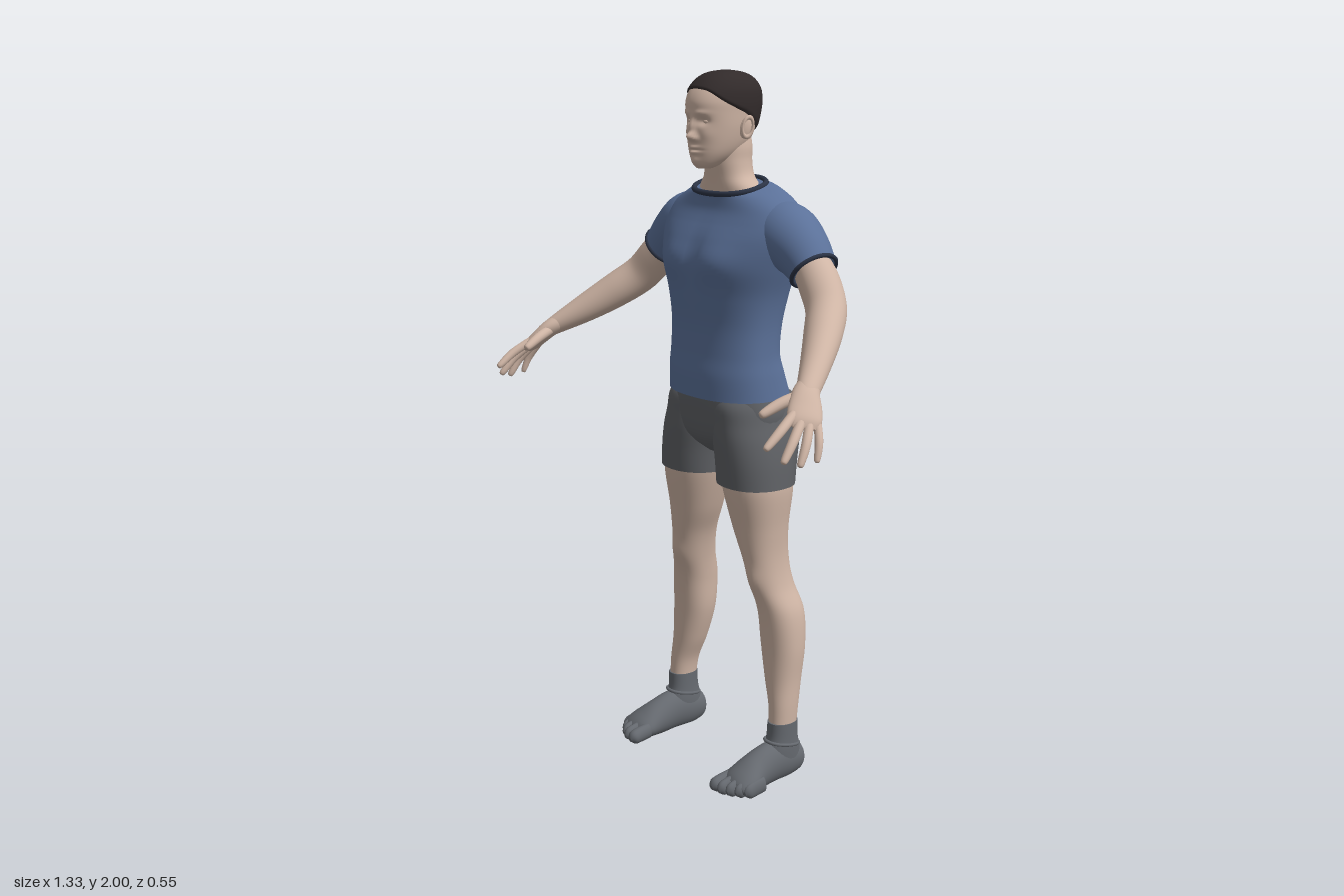
import * as THREE from 'three';

const V = (x, y, z) => new THREE.Vector3(x, y, z);
const paint = (name, color) => Object.assign(new THREE.MeshStandardMaterial({ color }), { name });

// Smooth interpolation of a table of cross-sections, v from 0 to 1
function spline(rows, v) {
  const t = THREE.MathUtils.clamp(v, 0, 1) * (rows.length - 1);
  const i = Math.min(Math.floor(t), rows.length - 2), f = t - i;
  const row = k => rows[THREE.MathUtils.clamp(k, 0, rows.length - 1)];
  return rows[0].map((_, c) => {
    const [a, b, d, e] = [row(i - 1)[c], row(i)[c], row(i + 1)[c], row(i + 2)[c]];
    return b + 0.5 * f * (d - a + f * (2 * a - 5 * b + 4 * d - e + f * (3 * (b - d) + e - a)));
  });
}

// Upright body surface. Rows: [y, centreX, halfWidth, zFront, zBack].
// Bumps: [side (1 front, -1 back), x, y, spreadX, spreadY, push in z], mirrored in x.
const loft = (rows, bumps = [], power = 0.9) => (u, v) => {
  const [y, cx, rx, zf, zb] = spline(rows, v);
  const s = Math.sin(u * 2 * Math.PI), c = Math.cos(u * 2 * Math.PI);
  const round = k => Math.sign(k) * Math.abs(k) ** power;
  const p = V(cx + rx * round(s), y, (zf + zb) / 2 + (zf - zb) / 2 * round(c));
  let push = 0;
  for (const [side, bx, by, sx, sy, dz] of bumps)
    push += dz * Math.max(0, side * c) * Math.exp(-(((Math.abs(p.x) - bx) / sx) ** 2) - ((y - by) / sy) ** 2);
  p.z += push;
  return p;
};

// Limb surface along a path. Rows: [x, y, z, radius along ref, other radius]
const limb = (rows, ref = V(1, 0, 0)) => (u, v) => {
  const [x, y, z, a, b] = spline(rows, v);
  const t = V(...spline(rows, v + 0.02)).sub(V(...spline(rows, v - 0.02))).normalize();
  const e1 = ref.clone().addScaledVector(t, -ref.dot(t)).normalize();
  const e2 = t.clone().cross(e1);
  return V(x, y, z).addScaledVector(e1, a * Math.cos(u * 2 * Math.PI)).addScaledVector(e2, b * Math.sin(u * 2 * Math.PI));
};

// Mesh of a surface closed around u, with flat caps at both ends
function skinOver(fn, nu = 40, nv = 40) {
  const pos = [], idx = [];
  for (let j = 0; j <= nv; j++)
    for (let i = 0; i < nu; i++) pos.push(...fn(i / nu, j / nv).toArray());
  for (let j = 0; j < nv; j++)
    for (let i = 0; i < nu; i++) {
      const k = (i + 1) % nu, a = j * nu + i, b = j * nu + k;
      idx.push(a, b, b + nu, a, b + nu, a + nu);
    }
  for (const v of [0, 1]) {
    const start = pos.length / 3, mid = V(0, 0, 0);
    for (let i = 0; i < nu; i++) {
      const p = fn(i / nu, v);
      pos.push(...p.toArray());
      mid.addScaledVector(p, 1 / nu);
    }
    pos.push(...mid.toArray());
    for (let i = 0; i < nu; i++) {
      const a = start + i, b = start + (i + 1) % nu;
      idx.push(start + nu, ...(v ? [a, b] : [b, a]));
    }
  }
  const g = new THREE.BufferGeometry();
  g.setAttribute('position', new THREE.Float32BufferAttribute(pos, 3));
  g.setIndex(idx);
  g.computeVertexNormals();
  return g;
}

// Thin rolled edge around a surface at v
function rim(fn, v, radius) {
  const pts = Array.from({ length: 32 }, (_, i) => fn(i / 32, v));
  return new THREE.TubeGeometry(new THREE.CatmullRomCurve3(pts, true), 64, radius, 8, true);
}

function mirrored(geo) {
  const g = geo.clone().scale(-1, 1, 1), ix = g.index.array;
  for (let i = 0; i < ix.length; i += 3) [ix[i], ix[i + 1]] = [ix[i + 1], ix[i]];
  return g;
}

export function createModel() {
  const model = new THREE.Group();
  model.name = 'standingMan';
  const skin = paint('skin', 0xcfb5a5), shirt = paint('shirtBlue', 0x5b7199), trim = paint('trimNavy', 0x2c3446);
  const shorts = paint('shortsGrey', 0x5f6165), sock = paint('sockGrey', 0x65696f), hair = paint('hairBrown', 0x322b2b);
  const add = (name, geo, mat) => {
    const m = new THREE.Mesh(geo, mat);
    m.name = name;
    model.add(m);
  };
  const pair = (name, geo, mat) => {
    add(name + 'Left', geo, mat);
    add(name + 'Right', mirrored(geo), mat);
  };

  // Shirt body, with the neckline lower at the front
  const torsoShape = loft([
    [1.115, 0, 0.19, 0.018, -0.262], [1.18, 0, 0.186, 0.018, -0.238], [1.24, 0, 0.181, 0.011, -0.22],
    [1.32, 0, 0.183, 0.008, -0.226], [1.4, 0, 0.196, 0.015, -0.243], [1.48, 0, 0.222, 0.02, -0.255],
    [1.55, 0, 0.245, 0.0, -0.258], [1.6, 0, 0.25, -0.026, -0.25], [1.64, 0, 0.225, -0.042, -0.235],
    [1.675, 0, 0.165, -0.048, -0.21], [1.692, 0, 0.12, -0.048, -0.19],
  ], [[1, 0.09, 1.5, 0.07, 0.05, 0.014], [1, 0, 1.5, 0.02, 0.08, -0.006], [-1, 0, 1.4, 0.03, 0.17, 0.018],
    [-1, 0.09, 1.54, 0.06, 0.08, -0.016], [-1, 0, 1.12, 0.02, 0.04, 0.015]], 0.86);
  const torso = (u, v) => {
    const p = torsoShape(u, v);
    p.y -= 0.27 * (p.z + 0.12) * THREE.MathUtils.smoothstep(p.y, 1.58, 1.69);
    return p;
  };
  add('shirtBody', skinOver(torso, 72, 72), shirt);
  add('collar', rim(torso, 1, 0.008), trim);

  // Sleeves
  const sleeve = limb([
    [0.1, 1.585, -0.15, 0.07, 0.07], [0.16, 1.58, -0.15, 0.085, 0.085], [0.215, 1.563, -0.15, 0.089, 0.09],
    [0.272, 1.53, -0.147, 0.077, 0.077], [0.32, 1.488, -0.143, 0.066, 0.062],
  ], V(0, 0, 1));
  pair('sleeve', skinOver(sleeve, 40, 30), shirt);
  pair('sleeveHem', rim(sleeve, 0.99, 0.006), trim);

  // Arms
  pair('arm', skinOver(limb([
    [0.29, 1.52, -0.145, 0.05, 0.05], [0.345, 1.464, -0.136, 0.056, 0.056], [0.4, 1.402, -0.113, 0.054, 0.055],
    [0.452, 1.35, -0.055, 0.05, 0.052], [0.505, 1.298, 0.015, 0.041, 0.043], [0.558, 1.247, 0.09, 0.031, 0.028],
    [0.572, 1.232, 0.11, 0.027, 0.022],
  ], V(0, 0, 1))), skin);

  // Hands
  pair('palm', skinOver(limb([
    [0.55, 1.254, 0.08, 0.029, 0.026], [0.568, 1.235, 0.108, 0.036, 0.025], [0.59, 1.208, 0.13, 0.043, 0.021],
    [0.608, 1.184, 0.148, 0.043, 0.017], [0.618, 1.168, 0.158, 0.03, 0.008],
  ], V(0.038, -0.01, -0.065)), 28, 20), skin);
  const digits = {
    thumb: [[0.558, 1.235, 0.11], [0.542, 1.218, 0.165], [0.528, 1.192, 0.222], 0.015],
    indexFinger: [[0.588, 1.2, 0.165], [0.602, 1.168, 0.22], [0.605, 1.13, 0.272], 0.0125],
    middleFinger: [[0.603, 1.19, 0.15], [0.627, 1.147, 0.2], [0.638, 1.098, 0.243], 0.0125],
    ringFinger: [[0.613, 1.185, 0.135], [0.642, 1.138, 0.172], [0.654, 1.086, 0.203], 0.012],
    littleFinger: [[0.617, 1.185, 0.115], [0.647, 1.138, 0.135], [0.659, 1.09, 0.152], 0.0105],
  };
  for (const [name, [a, b, c, r]] of Object.entries(digits)) {
    const near = b.map((k, i) => k + (c[i] - k) * 0.85);
    pair(name, skinOver(limb([[...a, r, r], [...b, r, r], [...near, r * 0.75, r * 0.75], [...c, r * 0.25, r * 0.25]]), 14, 15), skin);
  }

  // Shorts
  add('shortsSeat', skinOver(loft([
    [0.945, 0, 0.05, -0.06, -0.17], [0.975, 0, 0.12, -0.025, -0.21], [1.01, 0, 0.185, -0.005, -0.238],
    [1.07, 0, 0.2, 0.004, -0.252], [1.13, 0, 0.185, 0.006, -0.25],
  ]), 48, 24), shorts);
  pair('shortsLeg', skinOver(loft([
    [0.872, 0.126, 0.108, -0.008, -0.222], [0.94, 0.121, 0.107, -0.004, -0.236], [1.0, 0.111, 0.106, -0.001, -0.257],
    [1.05, 0.102, 0.1, -0.002, -0.272], [1.1, 0.095, 0.093, -0.004, -0.266], [1.14, 0.09, 0.075, -0.03, -0.22],
  ]), 40, 24), shorts);

  // Bare legs
  pair('leg', skinOver(loft([
    [0.14, 0.232, 0.033, -0.092, -0.175], [0.22, 0.229, 0.038, -0.096, -0.184], [0.3, 0.214, 0.052, -0.1, -0.2],
    [0.4, 0.203, 0.066, -0.1, -0.216], [0.5, 0.195, 0.064, -0.09, -0.22], [0.58, 0.176, 0.054, -0.07, -0.203],
    [0.66, 0.161, 0.057, -0.055, -0.193], [0.75, 0.144, 0.076, -0.04, -0.197], [0.87, 0.132, 0.098, -0.019, -0.214],
    [0.95, 0.12, 0.095, -0.025, -0.21],
  ], [[1, 0.175, 0.6, 0.03, 0.035, 0.008], [-1, 0.17, 0.6, 0.03, 0.04, 0.006]]), 40, 60), skin);

  // Sock feet with toes, flat underneath
  const grounded = fn => (u, v) => {
    const p = fn(u, v);
    p.y = Math.max(p.y, 0.002);
    return p;
  };
  const ankle = loft([
    [0.04, 0.229, 0.038, -0.07, -0.203], [0.09, 0.23, 0.039, -0.075, -0.193],
    [0.13, 0.231, 0.037, -0.086, -0.183], [0.176, 0.232, 0.036, -0.089, -0.181],
  ]);
  pair('sockAnkle', skinOver(ankle, 36, 16), sock);
  const seam = (u, v) => {
    const p = ankle(u, v);
    p.y += 0.22 * (p.z + 0.133);
    return p;
  };
  pair('sockSeam', rim(seam, 0.5, 0.005), sock);
  pair('sockFoot', skinOver(grounded(limb([
    [0.228, 0.045, -0.213, 0.01, 0.015], [0.228, 0.046, -0.195, 0.033, 0.042], [0.228, 0.052, -0.15, 0.04, 0.058],
    [0.23, 0.056, -0.09, 0.042, 0.062], [0.232, 0.046, -0.03, 0.048, 0.054], [0.237, 0.036, 0.015, 0.058, 0.04],
    [0.239, 0.03, 0.04, 0.055, 0.03], [0.239, 0.026, 0.055, 0.045, 0.02],
  ])), 40, 36), sock);
  [[0.195, 0.099, 0.018], [0.223, 0.096, 0.0135], [0.247, 0.085, 0.0125], [0.268, 0.07, 0.012], [0.287, 0.052, 0.012]]
    .forEach(([x, tip, r], i) => pair('toe' + (i + 1), skinOver(grounded(limb([
      [x, 0.032, tip - 0.07, r * 0.9, 0.024], [x, 0.028, tip - 0.035, r, 0.024],
      [x, 0.024, tip - 0.012, r, 0.021], [x, 0.02, tip, r * 0.4, 0.008],
    ])), 16, 14), sock));

  // Neck
  add('neck', skinOver(loft([
    [1.64, 0, 0.13, -0.065, -0.2], [1.685, 0, 0.108, -0.062, -0.186], [1.72, 0, 0.077, -0.058, -0.176],
    [1.76, 0, 0.067, -0.052, -0.174], [1.8, 0, 0.065, -0.05, -0.176], [1.85, 0, 0.055, -0.05, -0.17],
  ]), 40, 24), skin);

  // Head: brow, eye sockets, nose, cheeks, lips and chin are pushed from the skull
  const head = loft([
    [1.742, 0, 0.02, -0.01, -0.05], [1.755, 0, 0.038, 0.0, -0.085], [1.78, 0, 0.057, 0.006, -0.13],
    [1.81, 0, 0.069, 0.009, -0.165], [1.85, 0, 0.077, 0.01, -0.187], [1.89, 0, 0.08, 0.014, -0.2],
    [1.92, 0, 0.081, 0.014, -0.204], [1.95, 0, 0.077, 0.0, -0.199], [1.975, 0, 0.063, -0.025, -0.179],
    [1.989, 0, 0.042, -0.055, -0.15], [1.995, 0, 0.01, -0.095, -0.112],
  ], [[1, 0, 1.828, 0.012, 0.011, 0.022], [1, 0, 1.855, 0.009, 0.02, 0.013], [1, 0.014, 1.822, 0.007, 0.007, 0.007],
    [1, 0.031, 1.868, 0.017, 0.011, -0.013], [1, 0.03, 1.89, 0.022, 0.007, 0.004], [1, 0.045, 1.835, 0.018, 0.018, 0.004],
    [1, 0, 1.799, 0.02, 0.005, 0.006], [1, 0, 1.785, 0.018, 0.005, 0.006], [1, 0, 1.792, 0.024, 0.0025, -0.004],
    [1, 0, 1.762, 0.018, 0.012, 0.006]]);
  add('head', skinOver(head, 110, 110), skin);
  pair('eyelid', new THREE.SphereGeometry(1, 20, 14).scale(0.014, 0.008, 0.011).translate(0.031, 1.867, -0.014), skin);
  pair('ear', new THREE.SphereGeometry(1, 20, 16).scale(0.008, 0.029, 0.016).rotateX(-0.2).rotateY(-0.3).translate(0.083, 1.85, -0.104), skin);
  pair('earRim', new THREE.TorusGeometry(0.02, 0.005, 8, 28).rotateY(Math.PI / 2).scale(1, 1.3, 0.75)
    .rotateX(-0.2).rotateY(-0.3).translate(0.09, 1.852, -0.106), skin);

  // Cropped hair: a shell over the skull from the hairline up
  const hairline = [[1.95], [1.943], [1.918], [1.89], [1.855], [1.832], [1.825]];
  const hairShell = (u, v) => {
    const [edge] = spline(hairline, 1 - Math.abs(1 - 2 * u));
    let lo = 0, hi = 1;
    for (let k = 0; k < 18; k++) {
      const m = (lo + hi) / 2;
      if (head(u, m).y < edge) lo = m; else hi = m;
    }
    const p = head(u, lo + (1 - lo) * v);
    const out = p.clone().sub(V(0, 1.9, -0.1)).normalize();
    return p.addScaledVector(out, -0.002 + 0.007 * THREE.MathUtils.smoothstep(v, 0, 0.08));
  };
  add('hair', skinOver(hairShell, 80, 36), hair);

  return model;
}
